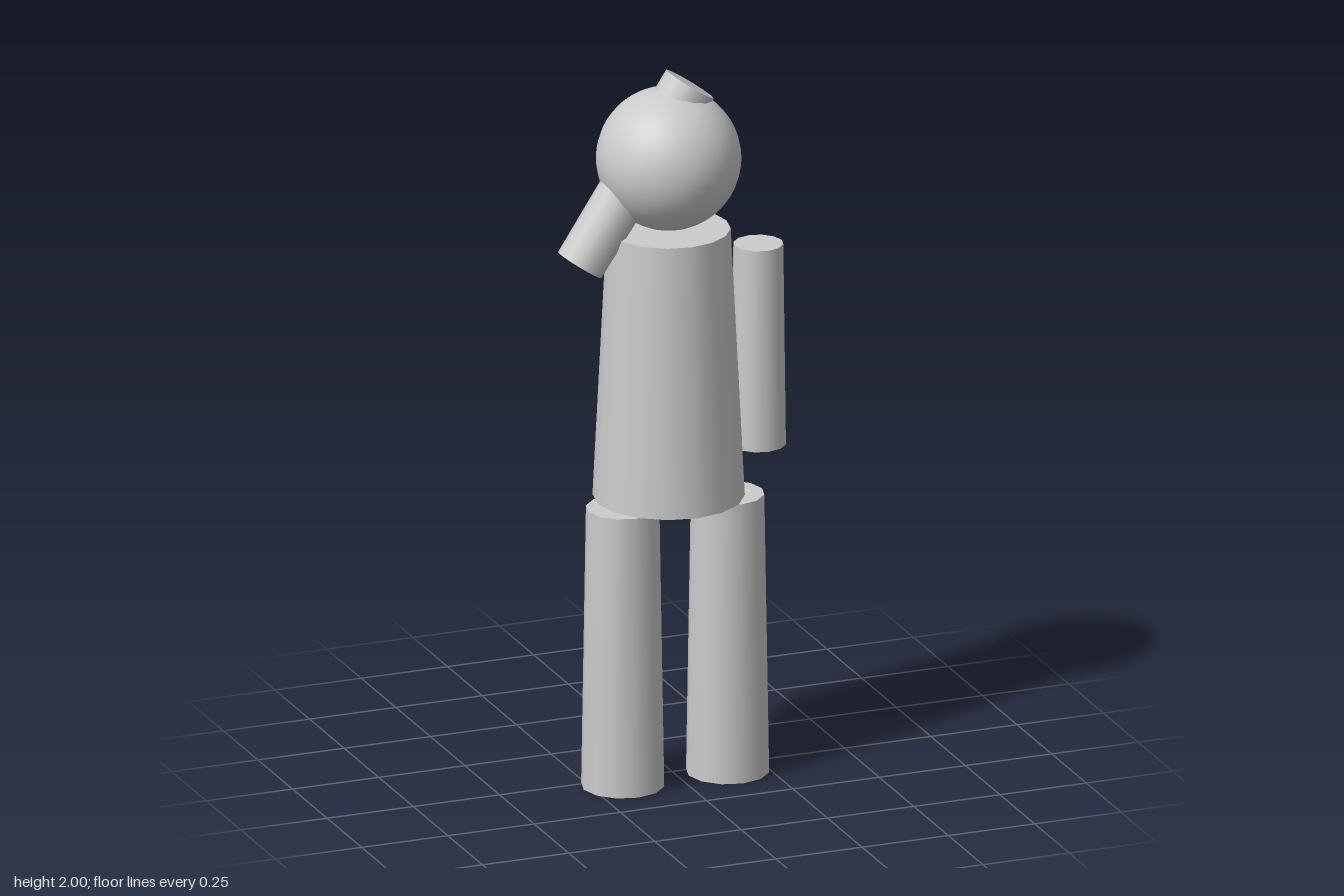
import * as THREE from 'three';

const material = new THREE.MeshStandardMaterial({ color: 0xcccccc });
const CENTRE_X = -0.01;

// Tapered limb running from a start point to an end point
function limb(name, start, end, rStart, rEnd, sides) {
  const a = new THREE.Vector3(...start);
  const b = new THREE.Vector3(...end);
  const axis = b.clone().sub(a);
  const mesh = new THREE.Mesh(
    new THREE.CylinderGeometry(rEnd, rStart, axis.length(), sides), material);
  mesh.name = name;
  mesh.position.copy(a).add(b).multiplyScalar(0.5);
  mesh.quaternion.setFromUnitVectors(new THREE.Vector3(0, 1, 0), axis.normalize());
  return mesh;
}

export function createModel() {
  const figure = new THREE.Group();
  figure.name = 'figure';

  // Head and tapered torso
  const head = new THREE.Mesh(new THREE.SphereGeometry(0.196, 32, 24), material);
  head.name = 'head';
  head.position.set(CENTRE_X, 1.755, 0);
  figure.add(head);
  figure.add(limb('torso', [CENTRE_X, 0.793, 0], [CENTRE_X, 1.555, 0], 0.205, 0.167, 16));

  // Legs, set slightly forward
  for (const [side, s] of [['left', 1], ['right', -1]]) {
    const x = CENTRE_X + s * 0.152;
    figure.add(limb(side + 'Leg', [x, 0, 0.047], [x, 0.793, 0.047], 0.113, 0.1, 12));
  }

  // Hanging left arm, and right arm raised diagonally through the head
  figure.add(limb('leftArm', [0.25, 0.905, 0], [0.25, 1.477, 0], 0.075, 0.068, 12));
  figure.add(limb('rightArm', [-0.268, 1.483, 0], [0.052, 1.958, 0], 0.068, 0.075, 12));

  return figure;
}
